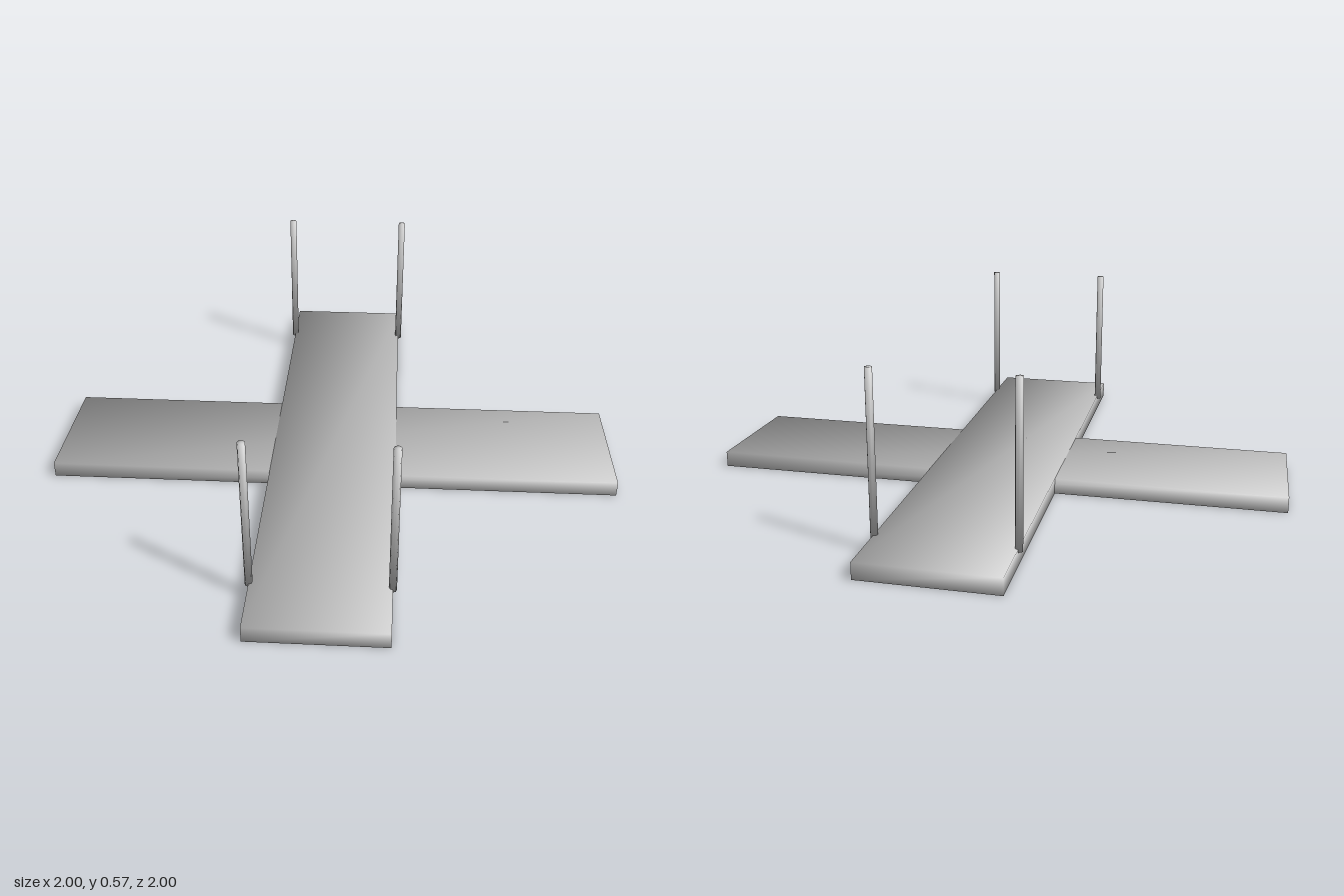
import * as THREE from 'three';

const material = new THREE.MeshStandardMaterial({ color: 0xcccccc });

// Soft shading across all edges: each normal is the position divided by the half sizes
function soften(geometry, hx, hy, hz) {
  const p = geometry.attributes.position;
  const n = geometry.attributes.normal;
  const v = new THREE.Vector3();
  for (let i = 0; i < p.count; i++) {
    v.set(p.getX(i) / hx, p.getY(i) / hy, p.getZ(i) / hz).normalize();
    n.setXYZ(i, v.x, v.y, v.z);
  }
  return geometry;
}

function addPart(parent, name, geometry, x, y, z) {
  const mesh = new THREE.Mesh(geometry, material);
  mesh.name = name;
  mesh.position.set(x, y, z);
  parent.add(mesh);
}

function board(w, h, d) {
  return soften(new THREE.BoxGeometry(w, h, d), w / 2, h / 2, d / 2);
}

export function createModel() {
  const model = new THREE.Group();
  model.name = 'crossedPlatform';

  // Two crossing boards; the long one is a hair thicker so its faces stay on top
  const width = 0.445, thickness = 0.055;
  addPart(model, 'lengthwiseBoard', board(width, thickness, 2), 0, thickness / 2, 0);
  addPart(model, 'crosswiseBoard', board(2, thickness - 0.001, width), 0, thickness / 2, 0);

  // Four upright posts on the edges of the lengthwise board
  const radius = 0.0125, bottom = 0.045, top = 0.575;
  const height = top - bottom;
  const post = soften(new THREE.CylinderGeometry(radius, radius, height, 8), radius, height / 2, radius);
  for (const [side, x] of [['Left', width / 2], ['Right', -width / 2]]) {
    for (const [end, z] of [['front', 0.8], ['back', -0.8]]) {
      addPart(model, `${end}${side}Post`, post, x, (top + bottom) / 2, z);
    }
  }
  return model;
}
